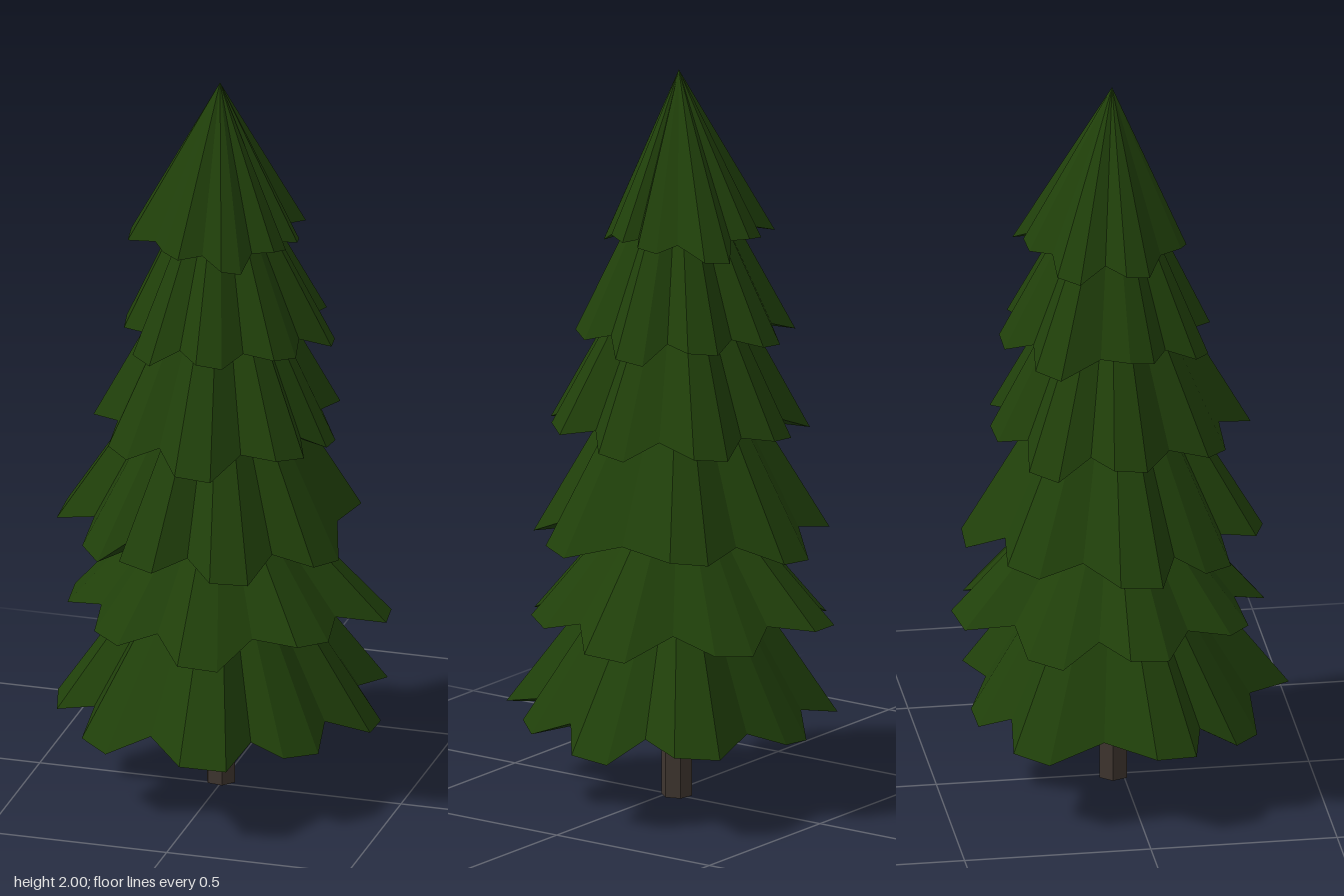
import * as THREE from 'three';

// Each tier: rim height, apex height, eight branch lobes as [angle in degrees, radius]
const TIERS = [
  { base: 0.205, apex: 0.86, lobes: [[42, 0.415], [79, 0.48], [128, 0.415], [165, 0.435], [219, 0.425], [267, 0.375], [318, 0.468], [358, 0.43]] },
  { base: 0.49, apex: 0.97, lobes: [[35, 0.4], [82, 0.41], [126, 0.385], [174, 0.405], [215, 0.4], [260, 0.435], [303, 0.413], [350, 0.455]] },
  { base: 0.72, apex: 1.4, lobes: [[25, 0.38], [70, 0.39], [108, 0.4], [140, 0.38], [178, 0.437], [225, 0.4], [272, 0.4], [320, 0.39]] },
  { base: 1.01, apex: 1.66, lobes: [[0, 0.31], [40, 0.34], [85, 0.37], [130, 0.33], [180, 0.34], [220, 0.35], [265, 0.325], [310, 0.355]] },
  { base: 1.28, apex: 1.86, lobes: [[35, 0.28], [80, 0.265], [125, 0.27], [170, 0.255], [222, 0.31], [268, 0.3], [312, 0.31], [350, 0.305]] },
  { base: 1.545, apex: 2.0, lobes: [[20, 0.2], [65, 0.2], [115, 0.2], [172, 0.245], [215, 0.26], [264, 0.237], [302, 0.275], [348, 0.21]] },
];
const HALF_LOBE = 7.5;

// Jagged rim: two tip points per lobe and one raised valley point between lobes
function rimPoints({ base, lobes }, seed) {
  const points = [];
  const add = (deg, r, y) => {
    const a = THREE.MathUtils.degToRad(deg);
    points.push([Math.cos(a) * r, y, Math.sin(a) * r]);
  };
  lobes.forEach(([angle, radius], i) => {
    const [nextAngle, nextRadius] = lobes[(i + 1) % lobes.length];
    const gap = (nextAngle - angle + 360) % 360;
    const valley = (radius + nextRadius) * 0.41;
    const tipY = base + 0.018 * Math.sin(i * 2.4 + seed * 1.7);
    add(angle - HALF_LOBE, radius, tipY);
    add(angle + HALF_LOBE, radius, tipY + 0.01);
    add(angle + gap / 2, valley, base + valley * 0.13);
  });
  return points;
}

// Closed pleated cone with a slightly hollow underside
function tierGeometry(tier, seed) {
  const rim = rimPoints(tier, seed);
  const apex = [0, tier.apex, 0];
  const hollow = [0, tier.base + 0.045, 0];
  const positions = [];
  rim.forEach((p, i) => {
    const q = rim[(i + 1) % rim.length];
    positions.push(...apex, ...q, ...p);
    positions.push(...hollow, ...p, ...q);
  });
  const geometry = new THREE.BufferGeometry();
  geometry.setAttribute('position', new THREE.Float32BufferAttribute(positions, 3));
  geometry.computeVertexNormals();
  return geometry;
}

export function createModel() {
  const foliage = new THREE.MeshStandardMaterial({ color: 0x20400a });
  foliage.name = 'needleGreen';
  foliage.flatShading = true;
  const bark = new THREE.MeshStandardMaterial({ color: 0x3e352f });
  bark.name = 'barkBrown';
  bark.flatShading = true;

  const tree = new THREE.Group();
  tree.name = 'pineTree';
  // The trunk axis sits slightly off the centre of the spread
  const axis = new THREE.Group();
  axis.name = 'treeBody';
  axis.position.set(-0.01, 0, -0.03);
  tree.add(axis);

  const trunk = new THREE.Mesh(new THREE.CylinderGeometry(0.042, 0.042, 0.3, 6), bark);
  trunk.name = 'trunk';
  trunk.position.set(0.004, 0.15, 0.004);
  trunk.rotation.y = THREE.MathUtils.degToRad(20);
  axis.add(trunk);

  TIERS.forEach((tier, i) => {
    const mesh = new THREE.Mesh(tierGeometry(tier, i), foliage);
    mesh.name = `branchTier${i + 1}`;
    axis.add(mesh);
  });
  return tree;
}
